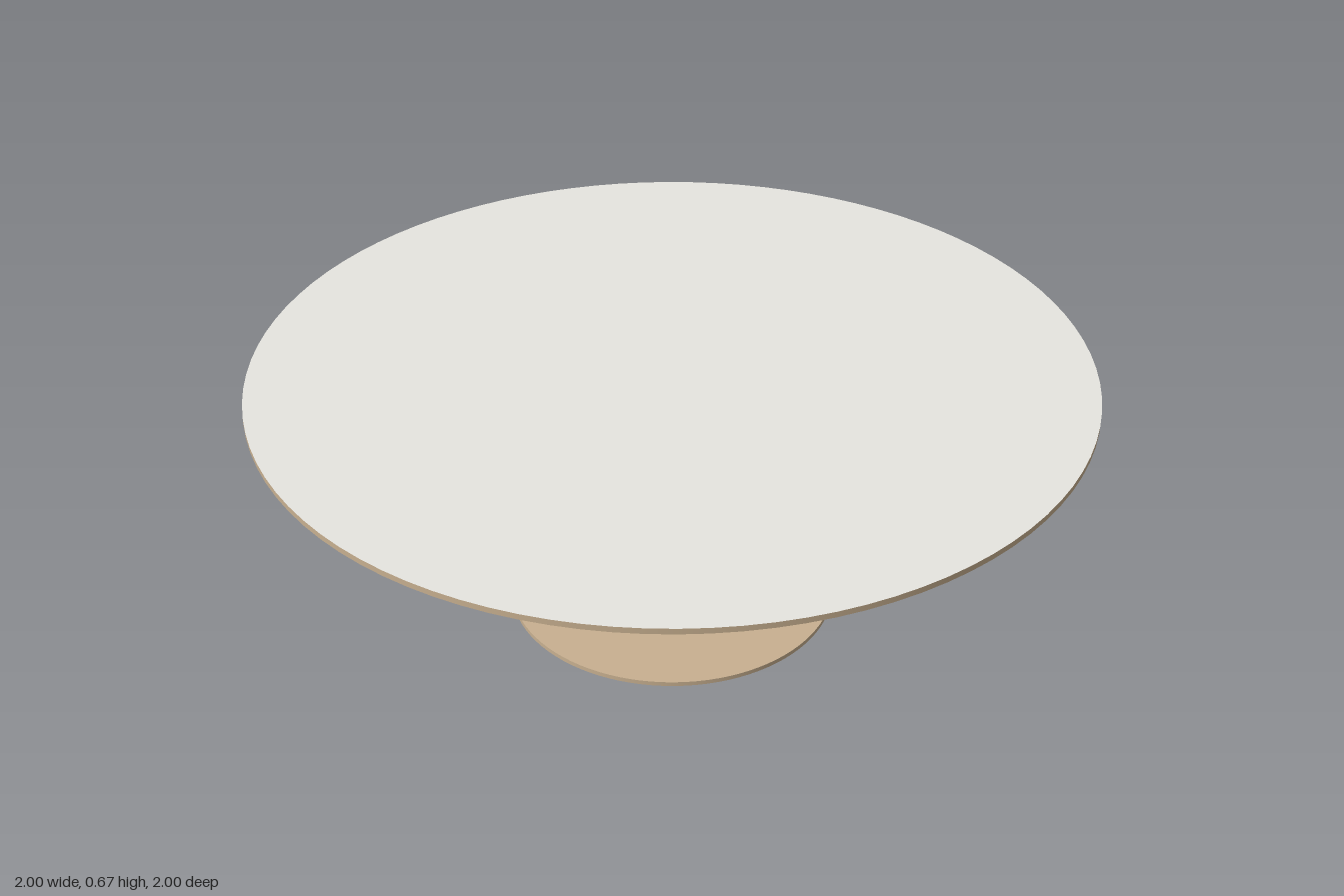
import * as THREE from 'three';

const SEGMENTS = 96;

export function createModel() {
  const wood = new THREE.MeshStandardMaterial({ color: 0xc8b090 });
  wood.name = 'tan wood';
  const surface = new THREE.MeshStandardMaterial({ color: 0xe8e6e1 });
  surface.name = 'pale surface';

  const table = new THREE.Group();
  table.name = 'roundTable';

  // Open round wall between two heights
  function wall(name, rBottom, rTop, y0, y1, parent) {
    const geo = new THREE.CylinderGeometry(rTop, rBottom, y1 - y0, SEGMENTS, 1, true);
    const mesh = new THREE.Mesh(geo, wood);
    mesh.position.y = (y0 + y1) / 2;
    mesh.name = name;
    parent.add(mesh);
  }

  // Flat disc facing up or down
  function cap(name, r, y, up, material, parent) {
    const geo = new THREE.CircleGeometry(r, SEGMENTS);
    geo.rotateX(up ? -Math.PI / 2 : Math.PI / 2);
    // Line the rim up with the wall vertices
    const mesh = new THREE.Mesh(geo, material);
    mesh.position.y = y;
    mesh.name = name;
    parent.add(mesh);
  }

  // Disc with an undercut bevel below a thin upright rim
  function bevelledDisc(name, rBottom, rTop, y0, yRim, y1, topMaterial) {
    const group = new THREE.Group();
    group.name = name;
    cap(name + 'Underside', rBottom, y0, false, wood, group);
    wall(name + 'Bevel', rBottom, rTop, y0, yRim, group);
    wall(name + 'Rim', rTop, rTop, yRim, y1, group);
    cap(name + 'Surface', rTop, y1, true, topMaterial, group);
    table.add(group);
  }

  // Foot and tabletop
  bevelledDisc('base', 0.34, 0.4, 0, 0.042, 0.053, wood);
  bevelledDisc('tabletop', 0.89, 1, 0.613, 0.653, 0.667, surface);

  // Central column
  wall('column', 0.147, 0.147, 0.053, 0.579, table);

  // Mounting plate under the tabletop
  const plate = new THREE.Group();
  plate.name = 'mountingPlate';
  wall('plateEdge', 0.4, 0.4, 0.579, 0.613, plate);
  cap('plateUnderside', 0.4, 0.579, false, wood, plate);
  table.add(plate);

  return table;
}
